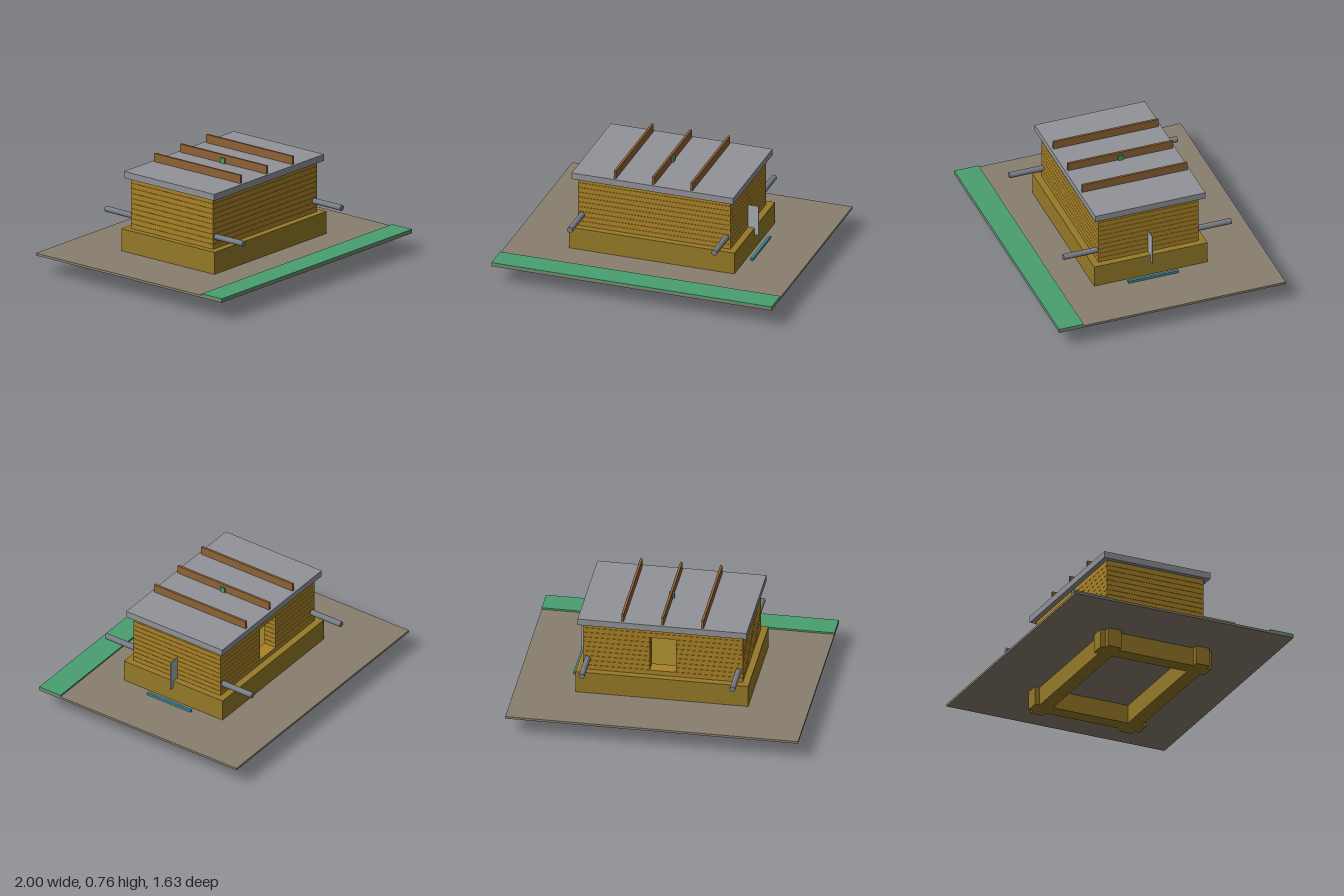
import * as THREE from 'three';

export function createModel() {
  const model = new THREE.Group();
  const mat = (color) => new THREE.MeshStandardMaterial({ color });
  const earth = mat(0x8a7f70), grass = mat(0x4a9e70), footing = mat(0x957a28), timber = mat(0xa98227);
  const slab = mat(0x919399), steel = mat(0x777b85), wood = mat(0x8e6236), teal = mat(0x3f8c98), pale = mat(0xa3adb2);

  // Box given by its limits on each axis
  const box = (name, material, x0, x1, y0, y1, z0, z1, parent = model) => {
    const mesh = new THREE.Mesh(new THREE.BoxGeometry(x1 - x0, y1 - y0, z1 - z0), material);
    mesh.position.set((x0 + x1) / 2, (y0 + y1) / 2, (z0 + z1) / 2);
    mesh.name = name;
    parent.add(mesh);
    return mesh;
  };

  // Ground sheet with a raised strip along the front
  box('groundPlate', earth, -1, 1, 0.13, 0.146, -0.815, 0.815);
  box('grassStrip', grass, -1, 1, 0.146, 0.158, 0.64, 0.815);

  // Crossing foundation beams below the ground, with projecting ends
  const foundation = new THREE.Group();
  foundation.name = 'foundation';
  model.add(foundation);
  for (const s of [-1, 1]) {
    box('longFoundationBeam', footing, -0.6, 0.6, 0, 0.13, s * 0.33 - 0.05, s * 0.33 + 0.05, foundation);
    box('shortFoundationBeam', footing, s * 0.508 - 0.052, s * 0.508 + 0.052, 0, 0.13, -0.415, 0.415, foundation);
  }
  box('plinth', footing, -0.59, 0.59, 0.146, 0.302, -0.408, 0.408);

  // Stacked wall courses with narrow joints and an opening at the back
  const walls = new THREE.Group();
  walls.name = 'walls';
  model.add(walls);
  const courses = 10, pitch = 0.0358, joint = 0.002;
  for (let i = 0; i < courses; i++) {
    const y0 = 0.302 + i * pitch;
    const y1 = y0 + pitch - (i < courses - 1 ? joint : 0);
    box('frontCourse', timber, -0.545, 0.545, y0, y1, 0.27, 0.36, walls);
    for (const s of [-1, 1]) {
      box('sideCourse', timber, s * 0.5 - 0.045, s * 0.5 + 0.045, y0, y1, -0.27, 0.27, walls);
    }
    if (i > 0 && i < 8) {
      box('backCourse', timber, -0.545, -0.09, y0, y1, -0.36, -0.27, walls);
      box('backCourse', timber, 0.09, 0.545, y0, y1, -0.36, -0.27, walls);
    } else {
      box('backCourse', timber, -0.545, 0.545, y0, y1, -0.36, -0.27, walls);
    }
  }

  // Two-layer flat roof and its ribs
  box('lowerRoofSlab', slab, -0.577, 0.577, 0.66, 0.684, -0.396, 0.396);
  box('upperRoofSlab', slab, -0.577, 0.577, 0.684, 0.706, -0.396, 0.396);
  for (const x of [-0.273, 0, 0.273]) {
    box('roofRib', wood, x - 0.008, x + 0.008, 0.706, 0.764, -0.378, 0.378);
  }
  box('roofMarker', grass, -0.018, 0.018, 0.706, 0.742, -0.018, 0.018);

  // Pipes running through the walls from front to back
  for (const x of [-0.515, 0.515]) {
    const pipe = new THREE.Mesh(new THREE.CylinderGeometry(0.02, 0.02, 1.208, 20), steel);
    pipe.rotation.x = Math.PI / 2;
    pipe.position.set(x, 0.384, 0);
    pipe.name = 'pipe';
    model.add(pipe);
  }

  // Thin upright panel on the left wall and a low bar on the ground beside it
  box('sidePanel', pale, 0.53, 0.62, 0.25, 0.468, -0.003, 0.003);
  box('groundBar', teal, 0.624, 0.642, 0.146, 0.163, -0.18, 0.18);

  return model;
}
